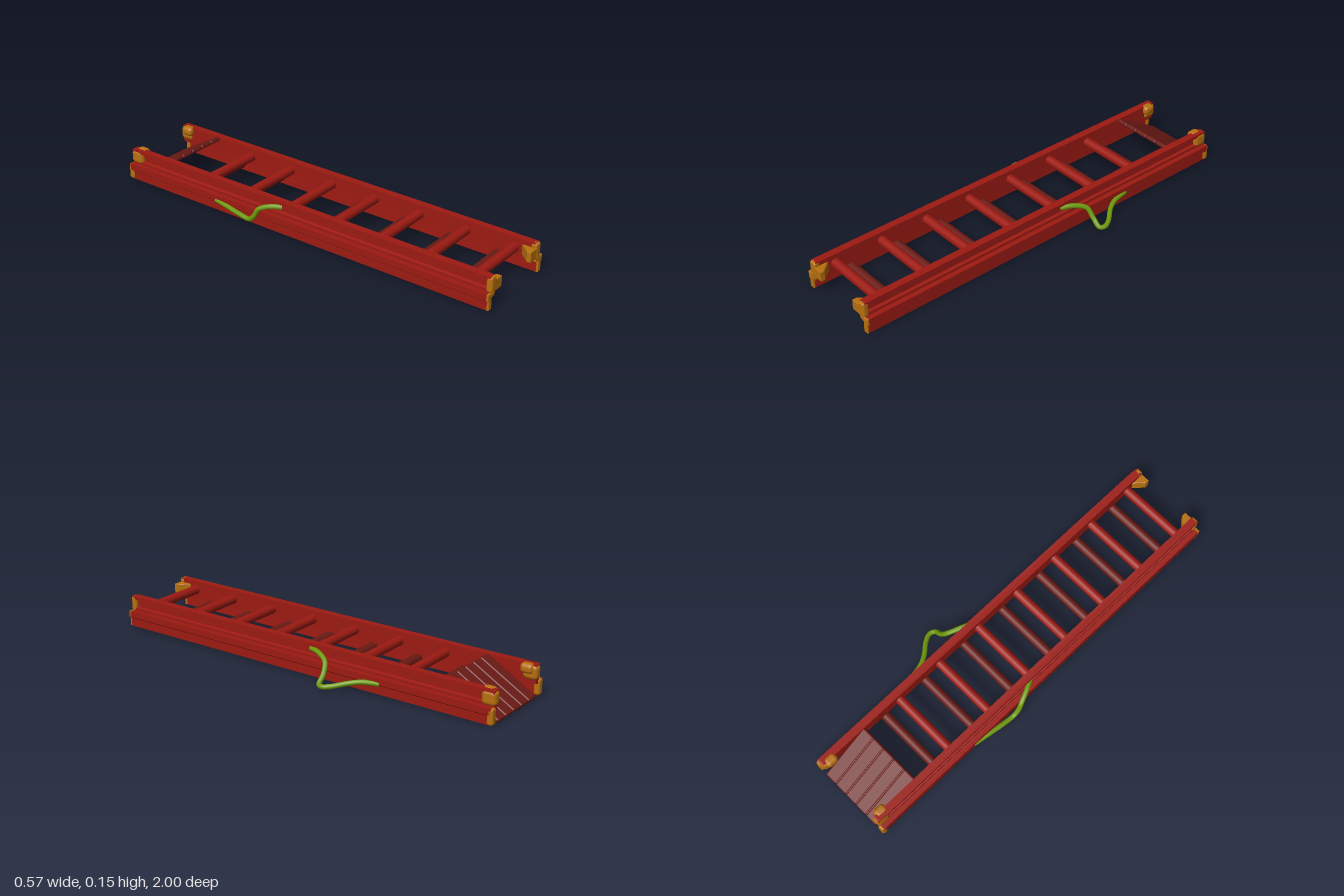
import * as THREE from 'three';
import { RoundedBoxGeometry } from 'three/addons/geometries/RoundedBoxGeometry.js';

const RED = new THREE.MeshStandardMaterial({ color: 0x9c1a12 });
const DARK_RED = new THREE.MeshStandardMaterial({ color: 0x6b1a14 });
const ORANGE = new THREE.MeshStandardMaterial({ color: 0xb8700f });
const GREEN = new THREE.MeshStandardMaterial({ color: 0x6f9a0c });
const CX = -0.04; // centre line of the ladder

export function createModel() {
  const root = new THREE.Group();

  const add = (name, geometry, material, x = 0, y = 0, z = 0) => {
    const mesh = new THREE.Mesh(geometry, material);
    mesh.name = name;
    mesh.position.set(x, y, z);
    root.add(mesh);
    return mesh;
  };
  const rbox = (name, mat, w, h, d, r, x, y, z) =>
    add(name, new RoundedBoxGeometry(w, h, d, 3, r), mat, x, y, z);

  // Extrudes an outline along z, with softened edges
  const extrude = (points, depth, bevel) => {
    const shape = new THREE.Shape(points.map(([x, y]) => new THREE.Vector2(x, y)));
    const g = new THREE.ExtrudeGeometry(shape, {
      depth: depth - 2 * bevel, bevelEnabled: true, bevelSize: bevel,
      bevelThickness: bevel, bevelOffset: -bevel, bevelSegments: 2,
    });
    return g.translate(0, 0, -depth / 2 + bevel);
  };

  // Half sections measured from the centre line
  const lowerRail = [
    [0.183, 0.01], [0.207, 0.01], [0.207, 0.05], [0.214, 0.056],
    [0.214, 0.086], [0.162, 0.086], [0.162, 0.068], [0.185, 0.062],
  ];
  const upperRail = [
    [0.157, 0.08], [0.19, 0.08], [0.19, 0.098], [0.176, 0.102],
    [0.176, 0.134], [0.192, 0.14], [0.192, 0.155], [0.157, 0.155],
  ];

  for (const s of [1, -1]) {
    const side = s > 0 ? 'left' : 'right';
    const place = (section) => section.map(([x, y]) => [CX + s * x, y]);
    add(side + 'LowerRail', extrude(place(lowerRail), 1.98, 0.004), RED);
    add(side + 'UpperRail', extrude(place(upperRail), 1.98, 0.004), RED);

    // Front end caps on both rails
    add(side + 'LowerFrontCap', extrude(place(lowerRail), 0.02, 0.004), ORANGE, 0, 0, 0.985);
    rbox(side + 'UpperFrontCap', ORANGE, 0.038, 0.072, 0.03, 0.01, CX + s * 0.174, 0.119, 0.982);

    // Wedge-shaped foot pad, tapering back toward the rail
    const wedge = new THREE.Shape([
      [0.16, -0.925], [0.17, -0.925], [0.17, -0.995], [0.115, -0.995], [0.115, -0.975],
    ].map(([x, z]) => new THREE.Vector2(CX + s * x, z)));
    const pad = new THREE.ExtrudeGeometry(wedge, {
      depth: 0.044, bevelEnabled: true, bevelSize: 0.004, bevelThickness: 0.004,
      bevelOffset: -0.004, bevelSegments: 2,
    }).rotateX(-Math.PI / 2);
    add(side + 'FootPad', pad, ORANGE, 0, 0.087, 0);

    // Rounded guide lugs at the back ends
    rbox(side + 'BackCap', ORANGE, 0.048, 0.07, 0.07, 0.02, CX + s * 0.172, 0.119, -0.962);
    rbox(side + 'BackLug', ORANGE, 0.046, 0.045, 0.06, 0.018, CX + s * 0.157, 0.136, -0.95);
    rbox(side + 'LowerBackCap', ORANGE, 0.034, 0.076, 0.03, 0.011, CX + s * 0.197, 0.048, -0.983);
  }

  // Two sets of seven rungs, staggered
  const rung = (length) => new THREE.CylinderGeometry(0.022, 0.022, length, 16).rotateZ(Math.PI / 2);
  const upperRung = rung(0.33), lowerRung = rung(0.38);
  for (let i = 0; i < 7; i++) {
    add('upperRung', upperRung, RED, CX, 0.112, 0.893 - i * 0.24);
    add('lowerRung', lowerRung, DARK_RED, CX, 0.043, 0.808 - i * 0.24);
  }

  // Sloping ribbed plate at the back
  const plate = new THREE.Group();
  plate.name = 'ribbedPlate';
  plate.position.set(CX, 0.08, -0.872);
  plate.rotation.x = -0.52;
  const backing = new THREE.Mesh(new THREE.BoxGeometry(0.318, 0.01, 0.27), DARK_RED);
  backing.name = 'plateBacking';
  plate.add(backing);
  const ribGeometry = new RoundedBoxGeometry(0.061, 0.02, 0.28, 2, 0.007);
  for (let i = 0; i < 5; i++) {
    const rib = new THREE.Mesh(ribGeometry, DARK_RED);
    rib.name = 'plateRib';
    rib.position.x = (i - 2) * 0.0645;
    plate.add(rib);
  }
  root.add(plate);

  // Slack ropes hanging along each side
  const rope = (name, points) => {
    const curve = new THREE.CatmullRomCurve3(points.map((p) => new THREE.Vector3(...p)));
    add(name, new THREE.TubeGeometry(curve, 64, 0.0115, 10), GREEN);
  };
  rope('leftRope', [
    [0.14, 0.126, -0.07], [0.165, 0.126, -0.13], [0.195, 0.105, -0.185], [0.225, 0.06, -0.198],
    [0.262, 0.028, -0.202], [0.272, 0.026, -0.225], [0.258, 0.031, -0.26], [0.208, 0.044, -0.32],
    [0.182, 0.053, -0.37], [0.166, 0.058, -0.45],
  ]);
  rope('rightRope', [
    [-0.225, 0.128, -0.08], [-0.25, 0.126, -0.13], [-0.27, 0.105, -0.18], [-0.274, 0.07, -0.2],
    [-0.273, 0.042, -0.23], [-0.267, 0.045, -0.3], [-0.256, 0.053, -0.38], [-0.246, 0.058, -0.45],
  ]);

  return root;
}
